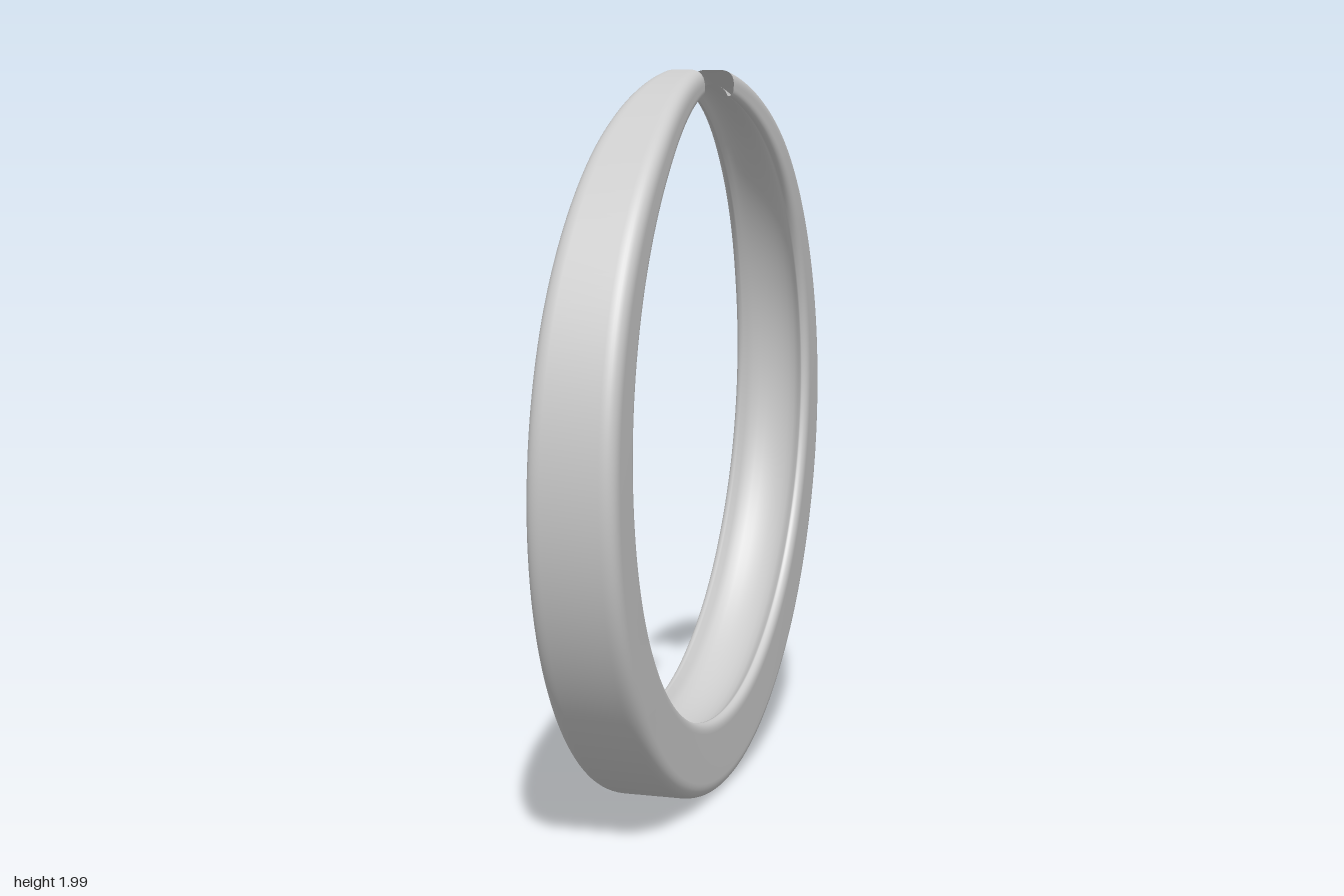
import * as THREE from 'three';

const END_ANGLE = THREE.MathUtils.degToRad(171.7); // measured from the bottom of the ring
const OUTER_RADIUS = 1;
const STEPS = 160;

// Section sizes (right edge x, left edge x, radial thickness), evenly spaced from bottom to tip
const half = [
  [-0.13, 0.115, 0.208],
  [-0.128, 0.116, 0.2],
  [-0.121, 0.121, 0.183],
  [-0.109, 0.126, 0.163],
  [-0.095, 0.126, 0.138],
  [-0.072, 0.12, 0.105],
  [-0.035, 0.09, 0.072],
].map((s) => new THREE.Vector3(...s));
const sizes = new THREE.CatmullRomCurve3([...half.slice(1).reverse(), ...half]);

// Closed section in (x, radius): rounded outer corners, rounded lips and a hollowed inner face
function section({ x: x0, y: x1, z: thick }) {
  const outer = OUTER_RADIUS, inner = OUTER_RADIUS - thick;
  const corner = 0.042, lip = Math.min(0.03, thick * 0.28);
  const dip = Math.min(0.045, thick * 0.45) * 4 / 3;
  const s = new THREE.Shape();
  s.moveTo(x0 + corner, outer);
  s.lineTo(x1 - corner, outer);
  s.quadraticCurveTo(x1, outer, x1, outer - corner);
  s.lineTo(x1, inner + lip);
  s.quadraticCurveTo(x1, inner, x1 - lip * 0.8, inner);
  s.bezierCurveTo(x1 - lip * 1.6, inner + dip, x0 + lip * 1.6, inner + dip, x0 + lip * 0.8, inner);
  s.quadraticCurveTo(x0, inner, x0, inner + lip);
  s.lineTo(x0, outer - corner);
  s.quadraticCurveTo(x0, outer, x0 + corner, outer);
  const points = s.getPoints(10);
  if (points[0].distanceTo(points[points.length - 1]) < 1e-6) points.pop();
  return points;
}

// Sweep the changing section around the ring, leaving a gap at the top
function ringGeometry() {
  const positions = [], index = [];
  let n = 0;
  for (let i = 0; i <= STEPS; i++) {
    const angle = THREE.MathUtils.lerp(-END_ANGLE, END_ANGLE, i / STEPS);
    const points = section(sizes.getPoint(i / STEPS));
    n = points.length;
    for (const p of points) {
      positions.push(p.x, OUTER_RADIUS - p.y * Math.cos(angle), p.y * Math.sin(angle));
    }
  }
  for (let i = 0; i < STEPS; i++) {
    for (let j = 0; j < n; j++) {
      const a = i * n + j, b = i * n + (j + 1) % n;
      index.push(a, b, a + n, b, b + n, a + n);
    }
  }
  const geometry = new THREE.BufferGeometry();
  geometry.setAttribute('position', new THREE.Float32BufferAttribute(positions, 3));
  geometry.setIndex(index);
  geometry.computeVertexNormals();
  return geometry;
}

export function createModel() {
  const group = new THREE.Group();
  group.name = 'openRing';
  // Hollow band with open tips
  const material = new THREE.MeshStandardMaterial({ color: 0xcccccc, side: THREE.DoubleSide });
  const band = new THREE.Mesh(ringGeometry(), material);
  band.name = 'taperedBand';
  group.add(band);
  return group;
}
